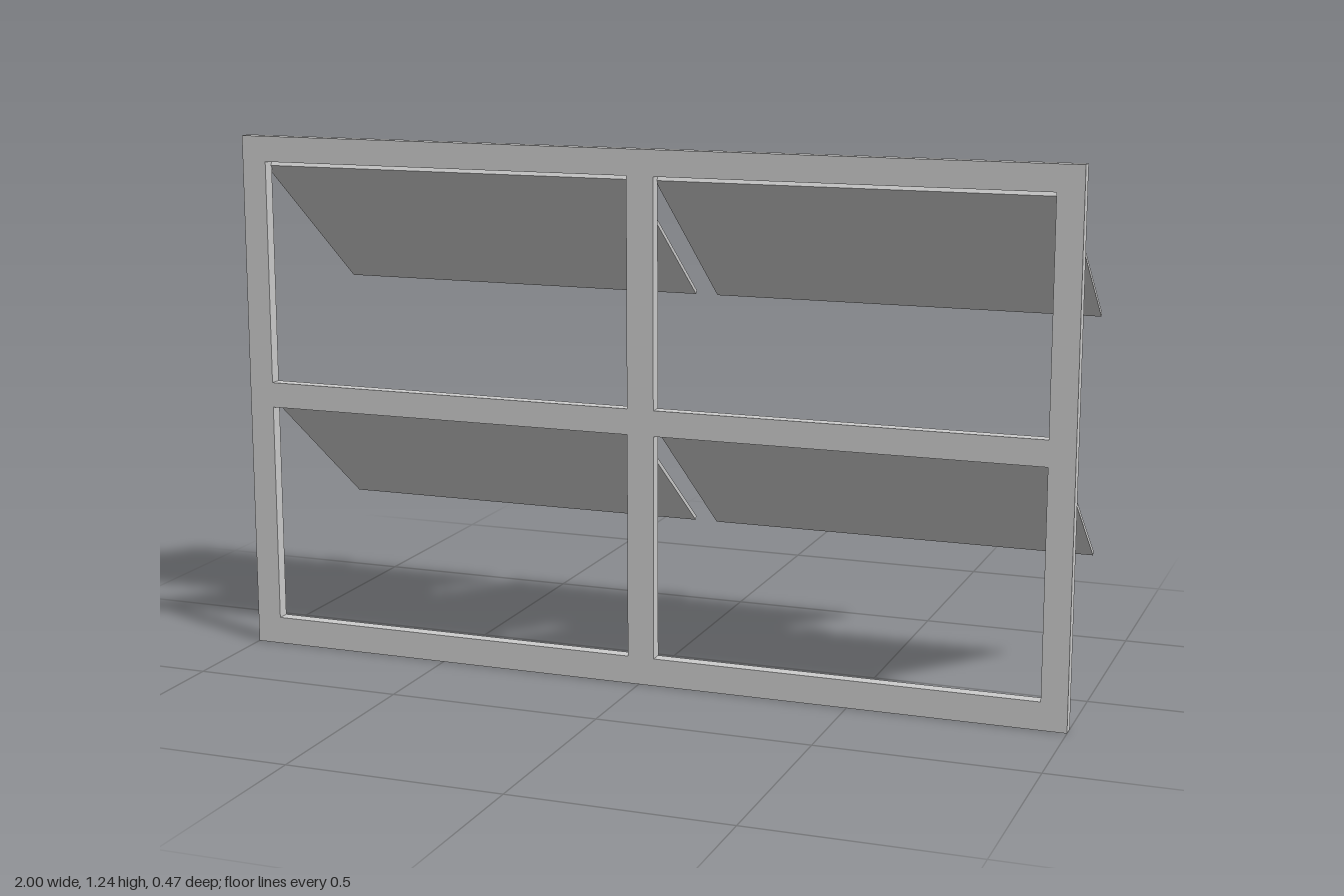
import * as THREE from 'three';

const material = new THREE.MeshStandardMaterial({ color: 0xcccccc, flatShading: true });
const smooth = new THREE.MeshStandardMaterial({ color: 0xcccccc });

function addMesh(parent, name, geometry, x, y, z, mat = material) {
  const mesh = new THREE.Mesh(geometry, mat);
  mesh.name = name;
  mesh.position.set(x, y, z);
  parent.add(mesh);
  return mesh;
}

function rectangle(Type, x0, y0, x1, y1) {
  const r = new Type();
  r.moveTo(x0, y0);
  r.lineTo(x1, y0);
  r.lineTo(x1, y1);
  r.lineTo(x0, y1);
  r.closePath();
  return r;
}

// Tilted sash, hinged at its top edge, with a small handle near the free edge
function createSash(x0, x1, hingeY) {
  const sash = new THREE.Group();
  sash.name = 'sash';
  const length = 0.532, thickness = 0.01;
  const mid = (x0 + x1) / 2;
  addMesh(sash, 'panel', new THREE.BoxGeometry(x1 - x0, thickness, length), 0, 0, -length / 2);
  addMesh(sash, 'handleStem', new THREE.BoxGeometry(0.025, 0.02, 0.01), 0, 0.012, -0.515);
  const grip = addMesh(sash, 'handleGrip', new THREE.CylinderGeometry(0.012, 0.012, 0.06, 20), 0, 0.026, -0.515, smooth);
  grip.rotation.z = Math.PI / 2;
  sash.position.set(mid, hingeY, 0.207);
  sash.rotation.x = -0.645;
  return sash;
}

export function createModel() {
  const model = new THREE.Group();
  model.name = 'window';

  // Frame with four openings
  const outline = rectangle(THREE.Shape, -1, 0, 1, 1.24);
  for (const [x0, x1] of [[-0.94, -0.027], [0.037, 0.94]]) {
    for (const [y0, y1] of [[0.065, 0.59], [0.65, 1.18]]) {
      outline.holes.push(rectangle(THREE.Path, x0, y0, x1, y1));
    }
  }
  const frame = new THREE.ExtrudeGeometry(outline, { depth: 0.03, bevelEnabled: false });
  addMesh(model, 'frame', frame, 0, 0, 0.205);

  // Four open sashes behind the frame
  for (const hingeY of [0.609, 1.173]) {
    model.add(createSash(-0.952, -0.022, hingeY));
    model.add(createSash(0.033, 0.963, hingeY));
  }
  return model;
}
